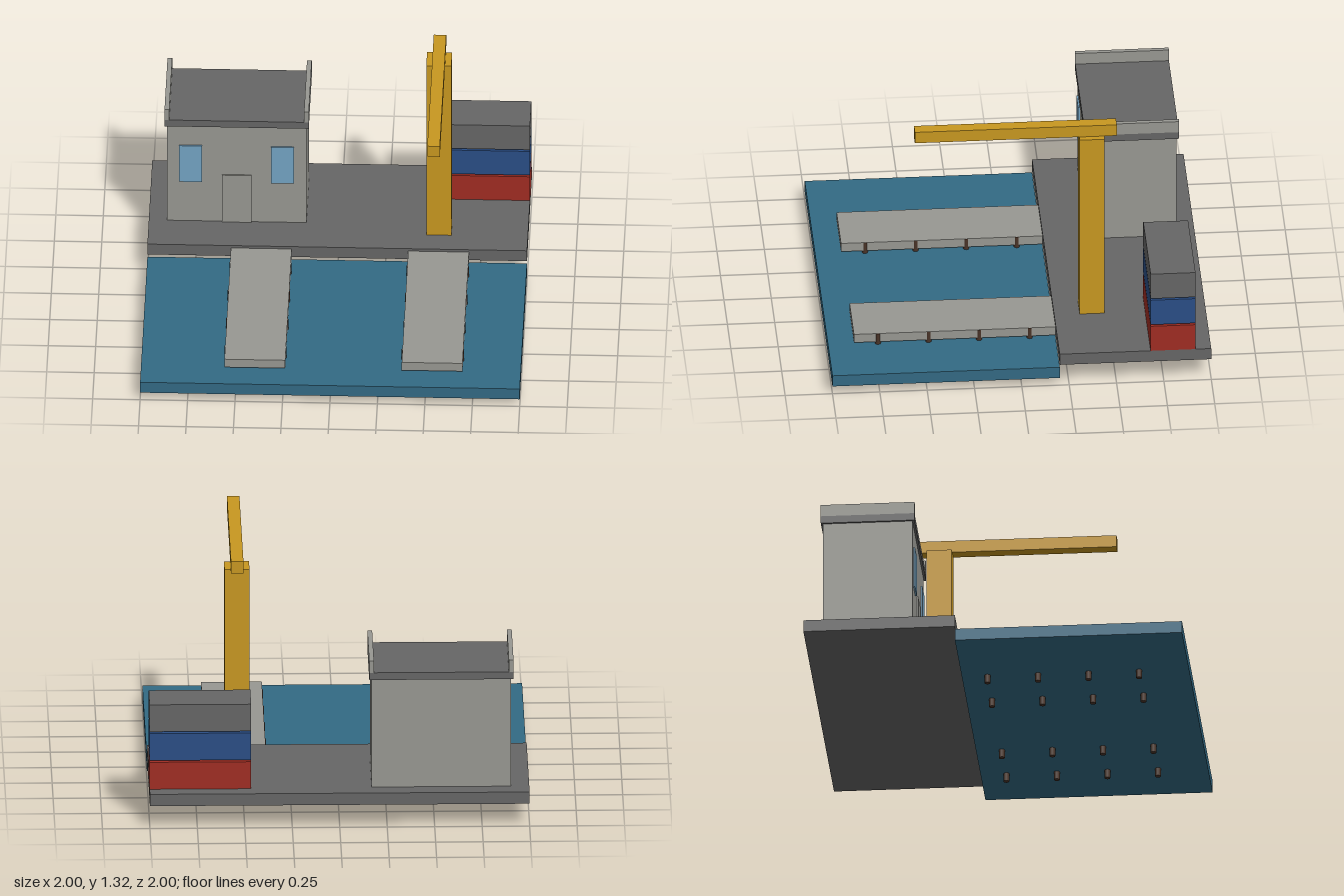
import * as THREE from 'three';

const mat = (name, color) => {
  const m = new THREE.MeshStandardMaterial({ color });
  m.name = name;
  return m;
};

export function createModel() {
  const water = mat('water blue', 0x336a84);
  const asphalt = mat('dark grey', 0x666666);
  const concrete = mat('concrete grey', 0x989892);
  const glass = mat('window blue', 0x74a4c4);
  const yellow = mat('crane yellow', 0xc89820);
  const red = mat('container red', 0xa02c22);
  const blue = mat('container blue', 0x2a4e86);
  const wood = mat('pile brown', 0x4a3428);

  const model = new THREE.Group();
  model.name = 'harbour';
  const group = (name) => {
    const g = new THREE.Group();
    g.name = name;
    model.add(g);
    return g;
  };

  // Box given by its extents along each axis
  const box = (parent, name, material, [x0, x1], [y0, y1], [z0, z1]) => {
    const mesh = new THREE.Mesh(new THREE.BoxGeometry(x1 - x0, y1 - y0, z1 - z0), material);
    mesh.position.set((x0 + x1) / 2, (y0 + y1) / 2, (z0 + z1) / 2);
    mesh.name = name;
    parent.add(mesh);
  };

  // Ground slabs
  box(model, 'water', water, [-1, 1], [0.045, 0.11], [-0.2, 1]);
  box(model, 'quay', asphalt, [-1, 1], [0.125, 0.19], [-1, -0.2]);

  // Harbour office with flat roof and side parapets
  const office = group('office');
  box(office, 'walls', concrete, [-0.905, -0.17], [0.19, 0.79], [-0.903, -0.432]);
  box(office, 'roof', asphalt, [-0.917, -0.157], [0.79, 0.83], [-0.915, -0.42]);
  for (const x of [-0.917, -0.182]) {
    box(office, 'parapet', concrete, [x, x + 0.025], [0.83, 0.895], [-0.915, -0.42]);
  }
  box(office, 'door', concrete, [-0.615, -0.46], [0.19, 0.485], [-0.432, -0.424]);
  for (const x of [-0.84, -0.355]) {
    box(office, 'window', glass, [x, x + 0.12], [0.44, 0.667], [-0.432, -0.423]);
  }

  // Crane
  const crane = group('crane');
  box(crane, 'mast', yellow, [0.465, 0.597], [0.19, 1.257], [-0.467, -0.335]);
  box(crane, 'boom', yellow, [0.498, 0.564], [1.257, 1.323], [-0.533, 0.533]);

  // Stacked containers
  const stack = group('containers');
  [red, blue, asphalt].forEach((m, i) => {
    const y = 0.19 + i * 0.16;
    box(stack, 'container', m, [0.465, 1], [y, y + 0.15], [-0.917, -0.68]);
  });

  // Jetties on rows of piles
  const pileGeo = new THREE.CylinderGeometry(0.016, 0.016, 0.174, 8);
  for (const x of [-0.4, 0.534]) {
    const jetty = group('jetty');
    box(jetty, 'deck', concrete, [x - 0.16, x + 0.16], [0.125, 0.175], [-0.2, 0.864]);
    for (const side of [-1, 1]) {
      for (let i = 0; i < 4; i++) {
        const pile = new THREE.Mesh(pileGeo, wood);
        pile.name = 'pile';
        pile.position.set(x + side * 0.148, 0.087, -0.064 + i * 0.267);
        jetty.add(pile);
      }
    }
  }
  return model;
}
